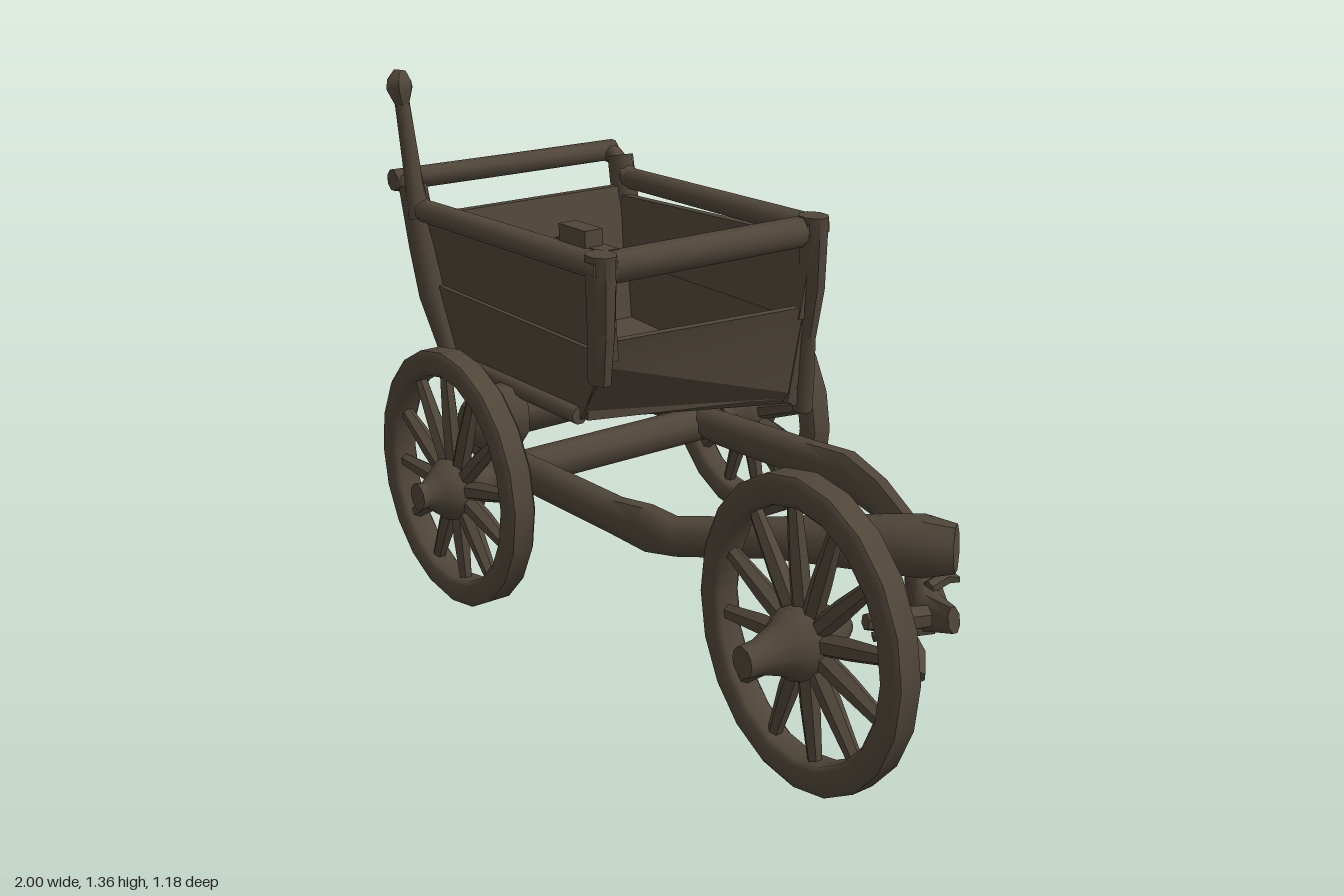
import * as THREE from 'three';
import { toCreasedNormals } from 'three/addons/utils/BufferGeometryUtils.js';

const wood = new THREE.MeshStandardMaterial({ color: 0x50463a, side: THREE.DoubleSide });
wood.name = 'dark wood';

const V = (p) => new THREE.Vector3(...p);

function add(parent, name, geometry, position) {
  const mesh = new THREE.Mesh(geometry, wood);
  mesh.name = name;
  if (position) mesh.position.set(...position);
  parent.add(mesh);
  return mesh;
}

// Bar through [x, y, z, halfWidth, halfHeight] stations with a chamfered section
function bar(parent, name, stations, sides = 8) {
  const pts = stations.map((s) => V(s)), pos = [], idx = [];
  stations.forEach((s, i) => {
    const dir = pts[Math.min(i + 1, pts.length - 1)].clone().sub(pts[Math.max(i - 1, 0)]).normalize();
    const ref = Math.abs(dir.y) > 0.8 ? new THREE.Vector3(0, 0, 1) : new THREE.Vector3(0, 1, 0);
    const side = new THREE.Vector3().crossVectors(dir, ref).normalize();
    const up = new THREE.Vector3().crossVectors(side, dir);
    for (let k = 0; k < sides; k++) {
      const a = ((k + 0.5) / sides) * Math.PI * 2;
      const p = pts[i].clone().addScaledVector(side, Math.cos(a) * s[3] * 1.06)
        .addScaledVector(up, Math.sin(a) * (s[4] ?? s[3]) * 1.06);
      pos.push(p.x, p.y, p.z);
      const n = (k + 1) % sides, r = i * sides;
      if (i < stations.length - 1) idx.push(r + k, r + n, r + sides + k, r + n, r + sides + n, r + sides + k);
    }
  });
  const last = (stations.length - 1) * sides;
  for (let k = 1; k < sides - 1; k++) idx.push(0, k + 1, k, last, last + k, last + k + 1);
  const g = new THREE.BufferGeometry();
  g.setAttribute('position', new THREE.Float32BufferAttribute(pos, 3));
  g.setIndex(idx);
  return add(parent, name, toCreasedNormals(g, 0.9));
}

// Board spanned by four corners (bottom pair, top pair) with a thickness vector
function board(parent, name, a, b, c, d, thick) {
  const g = new THREE.BoxGeometry(1, 1, 1), p = g.attributes.position;
  for (let i = 0; i < p.count; i++) {
    const row = p.getY(i) < 0 ? [a, b] : [d, c];
    const v = V(row[p.getX(i) < 0 ? 0 : 1]);
    if (p.getZ(i) > 0) v.add(V(thick));
    p.setXYZ(i, v.x, v.y, v.z);
  }
  return add(parent, name, toCreasedNormals(g, 0.3));
}

function lathe(points, segments) {
  const g = new THREE.LatheGeometry(points.map((p) => new THREE.Vector2(...p)), segments);
  return toCreasedNormals(g.rotateX(Math.PI / 2), 0.85);
}

// Spoked wheel in the xy plane; the hub sits slightly below the rim's centre
function wheel(parent, name, x, y, z, ry, hub, drop, flip, turn) {
  const w = new THREE.Group();
  w.name = name;
  w.position.set(x, y, z);
  w.scale.set(1, ry / 0.322, flip);
  add(w, 'rim', lathe([[0.26, -0.025], [0.27, -0.036], [0.31, -0.037], [0.322, -0.027], [0.322, 0.027],
    [0.31, 0.037], [0.27, 0.036], [0.26, 0.025], [0.26, -0.025]], 20));
  add(w, 'hub', lathe(hub, 12), [0, -drop, 0]);
  for (let i = 0; i < 12; i++) {
    const a = (i / 12) * Math.PI * 2 + turn, c = Math.cos(a), s = Math.sin(a);
    bar(w, 'spoke', [[c * 0.04, s * 0.04 - drop, 0, 0.022], [c * 0.14, s * 0.14 - drop / 2, 0, 0.022], [c * 0.275, s * 0.275, 0, 0.015]], 6);
  }
  parent.add(w);
}

function buildBox(root) {
  const body = new THREE.Group();
  body.name = 'cartBox';
  root.add(body);

  // Floor and back wall
  board(body, 'floor', [-0.8, 0.59, 0.29], [-0.18, 0.59, 0.29], [-0.1, 0.55, -0.29], [-0.8, 0.59, -0.29], [0, 0.03, 0]);
  board(body, 'backWall', [-0.8, 0.59, -0.3], [-0.8, 0.59, 0.3], [-0.9, 0.98, 0.33], [-0.9, 0.98, -0.33], [0.025, 0, 0]);
  // Low end board, folded inwards along a slanting line
  board(body, 'endBoard', [-0.09, 0.56, -0.3], [-0.085, 0.75, 0.3], [-0.06, 0.82, 0.31], [-0.06, 0.8, -0.31], [-0.025, 0, 0]);
  board(body, 'endApron', [-0.11, 0.53, -0.3], [-0.2, 0.59, 0.3], [-0.085, 0.75, 0.3], [-0.09, 0.56, -0.3], [-0.025, 0, 0]);

  for (const s of [1, -1]) {
    const side = s > 0 ? 'left' : 'right';
    const top = s > 0 ? 0.98 : 0.955, low = s > 0 ? 0.59 : 0.54, end = s > 0 ? -0.2 : -0.09;
    // Side wall in two overlapping planks
    board(body, side + 'LowerPlank', [-0.8, 0.59, s * 0.295], [end, low, s * 0.295], [-0.06, 0.79, s * 0.32], [-0.83, 0.8, s * 0.32], [0, 0, -s * 0.025]);
    board(body, side + 'UpperPlank', [-0.84, 0.78, s * 0.305], [-0.06, 0.77, s * 0.305], [-0.04, 0.98, s * 0.33], [-0.87, top, s * 0.33], [0, 0, -s * 0.025]);
    bar(body, side + 'BottomRail', [[-0.82, 0.6, s * 0.3, 0.022], [end, low + 0.01, s * 0.3, 0.022]]);
    // Top rail
    bar(body, side + 'TopRail', [[-0.995, 1.06, s * 0.335, 0.024], [-0.94, 1.055, s * 0.335, 0.026], [-0.86, 1.0, s * 0.335, 0.03, 0.028], [-0.04, 1.005, s * 0.325, 0.036, 0.03]]);
    // Corner posts
    bar(body, side + 'BackPost', [[-0.91, 1.06, s * 0.335, 0.035], [-0.875, 0.9, s * 0.33, 0.037], [-0.855, 0.77, s * 0.32, 0.036], [-0.8, 0.59, s * 0.3, 0.025]]);
    bar(body, side + 'EndPost', [[-0.06, 1.035, s * 0.325, 0.042, 0.035], [-0.065, 0.85, s * 0.325, 0.038, 0.03],
      [-0.085, 0.72, s * 0.32, 0.035, 0.025]]);
  }
  bar(body, 'rightPostFoot', [[-0.08, 0.74, -0.32, 0.03, 0.025], [-0.09, 0.6, -0.325, 0.03, 0.025], [-0.1, 0.51, -0.33, 0.028, 0.025]]);

  // Cross rails at both ends
  bar(body, 'backRail', [[-0.972, 1.065, -0.355, 0.028], [-0.974, 1.064, 0, 0.028], [-0.972, 1.065, 0.36, 0.028]]);
  bar(body, 'endRail', [[-0.075, 0.995, -0.33, 0.034, 0.038], [-0.075, 0.995, 0.33, 0.034, 0.038]]);

  // Small block on the left rail
  add(body, 'railBlock', new THREE.BoxGeometry(0.11, 0.06, 0.05), [-0.185, 1.045, 0.295]);
  add(body, 'railBlockBase', new THREE.BoxGeometry(0.19, 0.03, 0.05), [-0.175, 1.02, 0.285]);

  // Brake pole with a knob
  bar(body, 'pole', [[-0.865, 0.98, 0.345, 0.026], [-0.89, 1.13, 0.348, 0.021], [-0.918, 1.29, 0.35, 0.018]]);
  bar(body, 'poleKnob', [[-0.915, 1.27, 0.35, 0.018], [-0.922, 1.315, 0.352, 0.036], [-0.925, 1.335, 0.35, 0.033], [-0.928, 1.36, 0.345, 0.016]], 6);
}

function buildUndercarriage(root) {
  const under = new THREE.Group();
  under.name = 'undercarriage';
  root.add(under);

  bar(under, 'axle', [[-0.5, 0.365, -0.42, 0.03], [-0.5, 0.37, -0.3, 0.045], [-0.5, 0.37, 0.3, 0.045], [-0.5, 0.365, 0.42, 0.03]]);
  bar(under, 'bolster', [[-0.5, 0.53, -0.32, 0.06, 0.05], [-0.5, 0.53, 0.34, 0.06, 0.055]]);
  bar(under, 'leftLug', [[-0.5, 0.53, 0.3, 0.07, 0.08], [-0.5, 0.53, 0.41, 0.06, 0.075], [-0.5, 0.53, 0.45, 0.03, 0.045]]);

  // Two side beams that bend and meet at the front tip
  bar(under, 'leftShaft', [[-0.7, 0.38, 0.29, 0.03], [-0.4, 0.38, 0.3, 0.04, 0.045], [-0.05, 0.385, 0.3, 0.042, 0.045],
    [0.1, 0.405, 0.315, 0.042, 0.055], [0.18, 0.405, 0.295, 0.04, 0.045], [0.4, 0.445, 0.185, 0.045, 0.045],
    [0.6, 0.47, 0.075, 0.06, 0.06], [0.7, 0.478, 0.01, 0.06, 0.068], [0.76, 0.48, -0.03, 0.035, 0.055]]);
  bar(under, 'rightShaft', [[-0.7, 0.38, -0.29, 0.03], [-0.4, 0.38, -0.3, 0.04, 0.045], [-0.05, 0.39, -0.31, 0.042, 0.05],
    [0.1, 0.395, -0.315, 0.042, 0.055], [0.26, 0.385, -0.275, 0.035, 0.05], [0.45, 0.36, -0.2, 0.03, 0.05],
    [0.6, 0.33, -0.09, 0.035, 0.05], [0.7, 0.31, -0.02, 0.04, 0.045], [0.79, 0.33, 0.0, 0.015, 0.03]]);

  // Broken fittings around the tip
  bar(under, 'tipHook', [[0.74, 0.33, 0.03, 0.025], [0.71, 0.33, 0.1, 0.03], [0.69, 0.34, 0.17, 0.018]], 6);
  bar(under, 'tipFragment', [[0.78, 0.34, 0.13, 0.012], [0.83, 0.31, 0.16, 0.026], [0.88, 0.29, 0.195, 0.016]], 6);
  bar(under, 'tipPeg', [[0.68, 0.36, -0.03, 0.016], [0.68, 0.37, -0.08, 0.016], [0.68, 0.37, -0.1, 0.03, 0.012]], 6);
  bar(under, 'lowerHook', [[0.68, 0.28, -0.02, 0.03], [0.57, 0.26, -0.1, 0.03, 0.028], [0.47, 0.26, -0.19, 0.022, 0.028]], 6);
  bar(under, 'lowerSpur', [[0.68, 0.27, -0.04, 0.03, 0.025], [0.62, 0.25, 0.08, 0.012]], 6);
}

export function createModel() {
  const root = new THREE.Group();
  root.name = 'cart';
  buildBox(root);
  buildUndercarriage(root);

  const rearHub = [[0, -0.12], [0.06, -0.12], [0.04, -0.09], [0.045, -0.07], [0.075, -0.04], [0.078, 0.03], [0.055, 0.06], [0.032, 0.09], [0.034, 0.112], [0, 0.112]];
  const frontHub = [[0, -0.125], [0.018, -0.122], [0.04, -0.09], [0.06, -0.06], [0.075, -0.03], [0.075, 0.04],
    [0.055, 0.07], [0.035, 0.13], [0.032, 0.17], [0, 0.17]];
  wheel(root, 'leftRearWheel', -0.505, 0.392, 0.478, 0.333, rearHub, 0.027, 1, 0.1);
  wheel(root, 'rightRearWheel', -0.51, 0.392, -0.48, 0.333, rearHub, 0.027, -1, 0.2);
  wheel(root, 'frontWheel', 0.68, 0.358, 0.335, 0.356, frontHub, 0.014, 1, 0.15);
  return root;
}
